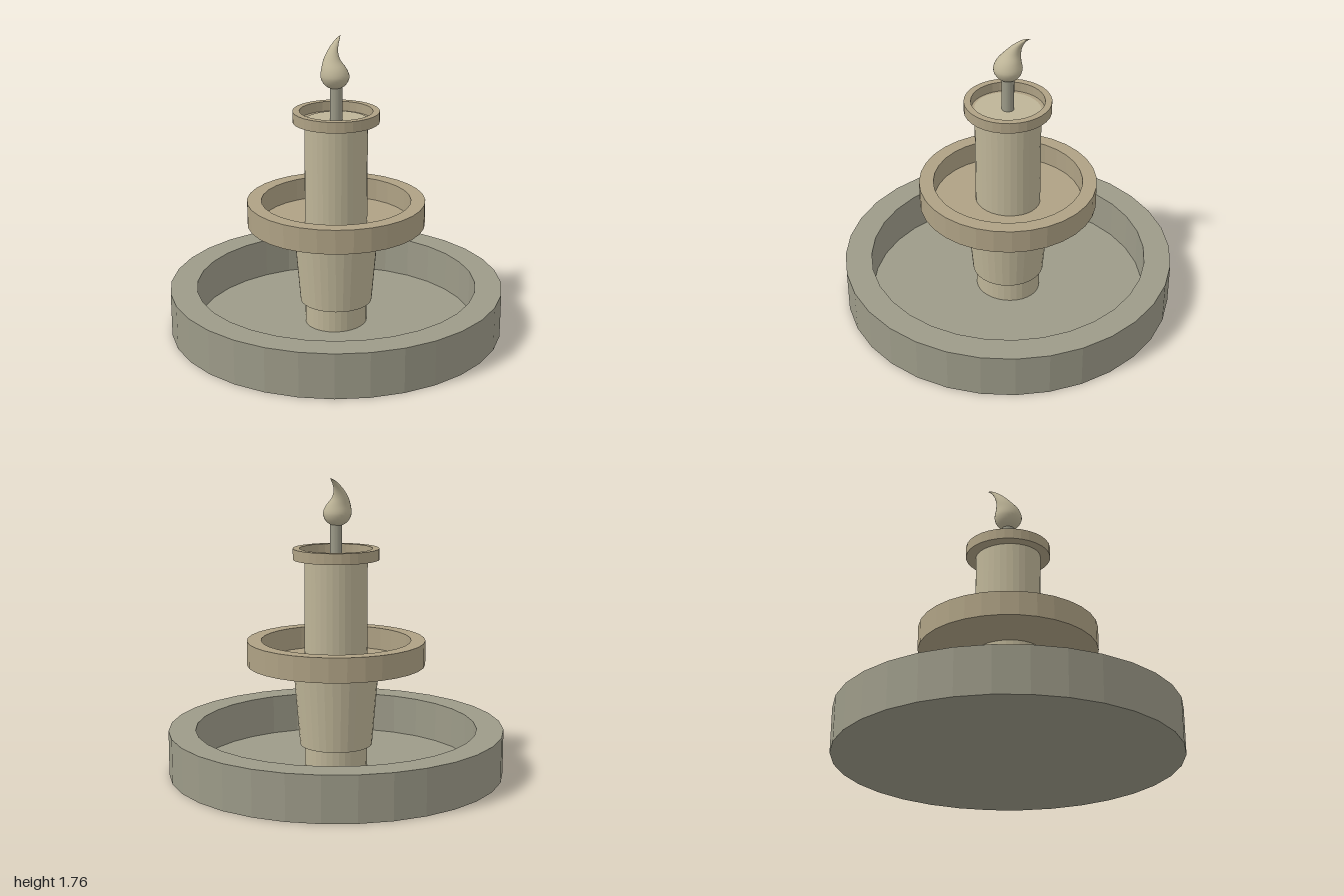
import * as THREE from 'three';
import { mergeVertices } from 'three/addons/utils/BufferGeometryUtils.js';

const SEGMENTS = 32;

function makeMesh(name, geometry, color, flatShading = true) {
  const mesh = new THREE.Mesh(geometry, new THREE.MeshStandardMaterial({ color, flatShading }));
  mesh.name = name;
  return mesh;
}

// Closed round solid from [radius, height] pairs, bottom to top
function turned(profile) {
  return new THREE.LatheGeometry(profile.map(([r, y]) => new THREE.Vector2(r, y)), SEGMENTS);
}

// Straight-walled round dish with a thin floor
function dish(outer, inner, bottom, floor, top) {
  return turned([[0, bottom], [outer, bottom], [outer, top], [inner, top], [inner, floor], [0, floor]]);
}

// Flame: round bulb drawn out into a curling tip
function flame() {
  // centre x, height, centre z, radius
  const sections = [
    [-0.005, 1.475, 0.002, 0], [-0.005, 1.482, 0.002, 0.033], [-0.005, 1.497, 0.002, 0.058],
    [-0.005, 1.522, 0.003, 0.076], [-0.006, 1.555, 0.004, 0.084], [-0.014, 1.6, 0.003, 0.071],
    [-0.031, 1.64, -0.009, 0.05], [-0.037, 1.68, -0.031, 0.034], [-0.035, 1.72, -0.064, 0.021],
    [-0.03, 1.75, -0.1, 0.011], [-0.028, 1.765, -0.132, 0],
  ];
  const spine = new THREE.CatmullRomCurve3(sections.map(([x, y, z]) => new THREE.Vector3(x, y, z)));
  const radii = new THREE.SplineCurve(sections.map((s, i) => new THREE.Vector2(i, s[3])));
  const rows = 30;
  const unit = Array.from({ length: rows + 1 }, (_, i) => new THREE.Vector2(1, i));
  let geometry = new THREE.LatheGeometry(unit, 24);
  const pos = geometry.attributes.position;
  for (let i = 0; i < pos.count; i++) {
    const t = Math.round(pos.getY(i)) / rows;
    const c = spine.getPoint(t);
    const r = t === 0 || t === 1 ? 0 : Math.max(0, radii.getPoint(t).y);
    pos.setXYZ(i, c.x + pos.getX(i) * r, c.y, c.z + pos.getZ(i) * r);
  }
  geometry.deleteAttribute('uv');
  geometry.deleteAttribute('normal');
  geometry = mergeVertices(geometry, 1e-5);
  geometry.computeVertexNormals();
  return geometry;
}

export function createModel() {
  const model = new THREE.Group();
  model.name = 'fountain';
  const stone = 0x9c9a88, tan = 0xaea184, pale = 0xbdb497;

  // Basins, from the ground up
  model.add(makeMesh('baseBasin', dish(1, 0.84, 0, 0.025, 0.27), stone));
  model.add(makeMesh('middleBowl', dish(0.53, 0.445, 0.655, 0.665, 0.8), tan));
  model.add(makeMesh('topDish', dish(0.255, 0.215, 1.28, 1.286, 1.345), tan));

  // Slightly oval column running through the basins
  const column = makeMesh('column', turned([[0, 0.01], [1, 0.01], [1, 1.29], [0, 1.29]]), pale);
  column.scale.set(0.184, 1, 0.198);
  model.add(column);

  // Flared collar below the middle bowl
  model.add(makeMesh('collar', turned([[0, 0.163], [0.216, 0.163], [0.252, 0.592], [0, 0.592]]), pale));

  // Spout and finial
  model.add(makeMesh('spout', turned([[0, 1.28], [0.036, 1.28], [0.036, 1.49], [0, 1.49]]), stone));
  model.add(makeMesh('flameFinial', flame(), pale, false));

  return model;
}
